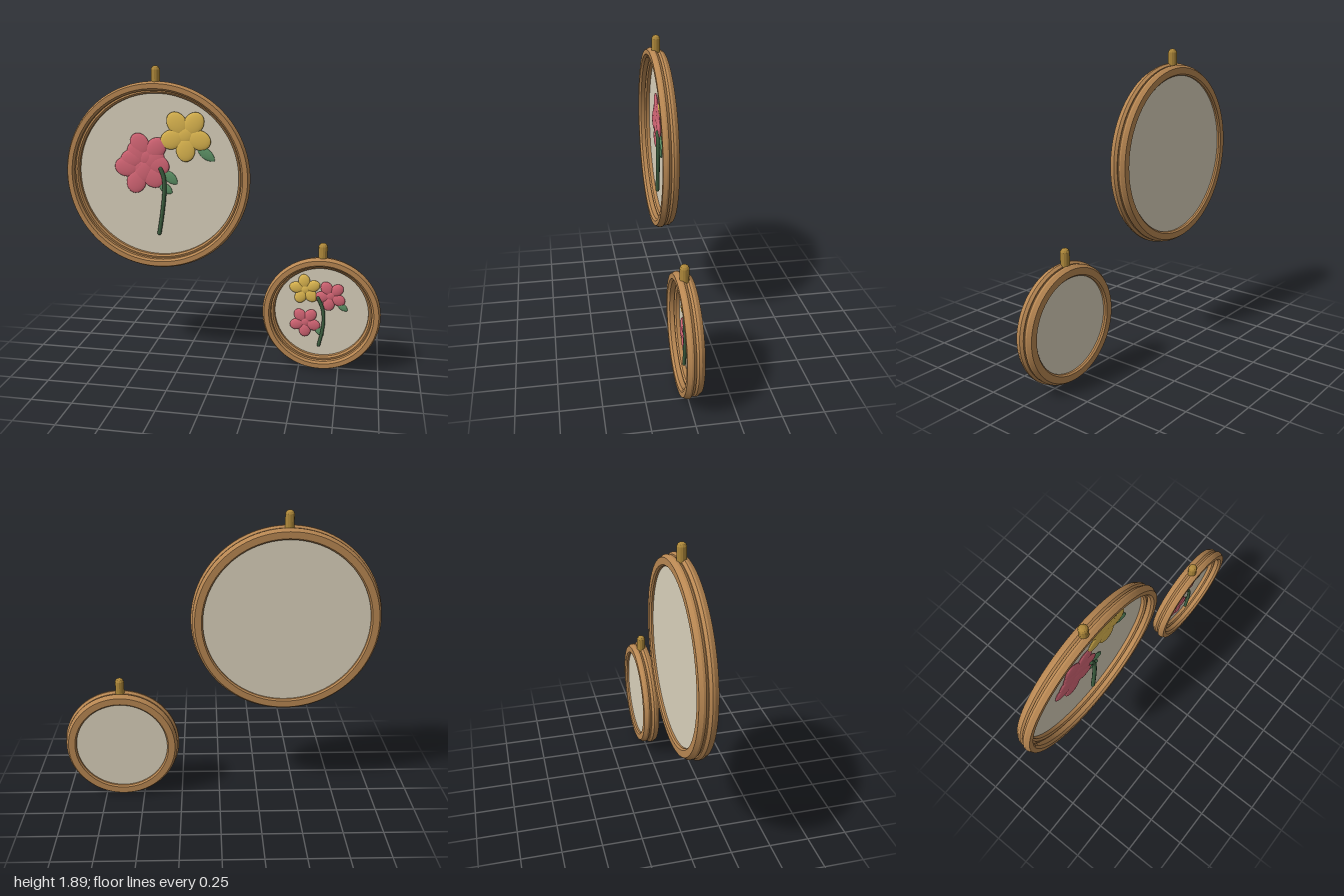
import * as THREE from 'three';
import { toCreasedNormals } from 'three/addons/utils/BufferGeometryUtils.js';

const mat = (name, color) => {
  const m = new THREE.MeshStandardMaterial({ color });
  m.name = name;
  return m;
};

export function createModel() {
  const wood = mat('wood', 0xb88752);
  const brass = mat('brass', 0xae883a);
  const linen = mat('linen', 0xdad1bc);
  const pink = mat('pink thread', 0xd96878);
  const yellow = mat('yellow thread', 0xe2bb52);
  const leafGreen = mat('leaf green', 0x5f9568);
  const stemGreen = mat('stem green', 0x3d5f40);

  const add = (parent, name, geo, material, x = 0, y = 0, z = 0) => {
    const mesh = new THREE.Mesh(geo, material);
    mesh.name = name;
    mesh.position.set(x, y, z);
    parent.add(mesh);
    return mesh;
  };

  // Ring sections as [offset from outer radius, depth], counterclockwise
  const frontSection = [[-0.012, -0.002], [0, 0.014], [0, 0.026], [-0.012, 0.05],
    [-0.042, 0.05], [-0.054, 0.036], [-0.054, 0.012], [-0.045, -0.002]];
  const backSection = [[-0.025, -0.052], [-0.01, -0.03], [-0.01, -0.016], [-0.02, -0.002],
    [-0.064, 0.01], [-0.075, 0], [-0.075, -0.042], [-0.066, -0.052]];

  function ring(section, radius) {
    const pts = [...section, section[0]].map(([d, z]) => new THREE.Vector2(radius + d, z));
    return toCreasedNormals(new THREE.LatheGeometry(pts, 96).rotateX(Math.PI / 2), 0.3);
  }

  // Wooden hoop with stretched cloth and a brass screw on top
  function hoop(name, radius, x, y) {
    const g = new THREE.Group();
    g.name = name;
    g.position.set(x, y, 0);
    add(g, 'frontRing', ring(frontSection, radius), wood);
    add(g, 'backRing', ring(backSection, radius), wood);
    const cloth = new THREE.CylinderGeometry(radius - 0.07, radius - 0.07, 0.008, 96);
    add(g, 'cloth', cloth.rotateX(Math.PI / 2), linen, 0, 0, -0.026);
    const screw = [[0, -0.02], [0.028, -0.02], [0.028, 0.07], [0.022, 0.083], [0.012, 0.09], [0, 0.092]]
      .map(([r, h]) => new THREE.Vector2(r, h));
    add(g, 'screw', toCreasedNormals(new THREE.LatheGeometry(screw, 12), 0.4), brass, 0, radius, 0.005);
    return g;
  }

  // Five flattened petals around a centre
  function flower(parent, name, material, x, y, size, degrees, z = -0.013) {
    const g = new THREE.Group();
    g.name = name;
    g.position.set(x, y, z);
    for (let i = 0; i < 5; i++) {
      const a = THREE.MathUtils.degToRad(degrees + i * 72);
      const petal = new THREE.SphereGeometry(1, 20, 12);
      petal.scale(size * 0.46, size * 0.37, 0.012);
      add(g, 'petal', petal, material, Math.cos(a) * size * 0.54, Math.sin(a) * size * 0.54).rotation.z = a;
    }
    add(g, 'flowerCentre', new THREE.SphereGeometry(1, 16, 10).scale(size * 0.32, size * 0.32, 0.011), material);
    parent.add(g);
  }

  // Pointed leaf: a flat sphere whose width narrows toward both tips
  function leaf(parent, x, y, length, width, degrees) {
    const geo = new THREE.SphereGeometry(1, 16, 12).rotateZ(Math.PI / 2);
    const p = geo.attributes.position;
    for (let i = 0; i < p.count; i++) {
      const taper = Math.sqrt(Math.max(0, 1 - p.getX(i) ** 2)) * 0.5 + 0.5;
      p.setXYZ(i, p.getX(i) * length, p.getY(i) * width * taper, p.getZ(i) * 0.009);
    }
    geo.computeVertexNormals();
    add(parent, 'leaf', geo, leafGreen, x, y, -0.015).rotation.z = THREE.MathUtils.degToRad(degrees);
  }

  // Rounded thread stem through a few points
  function stem(parent, points, radius) {
    const v = points.map(([x, y]) => new THREE.Vector3(x, y, 0));
    add(parent, 'stem', new THREE.TubeGeometry(new THREE.CatmullRomCurve3(v), 32, radius, 10), stemGreen);
    for (const end of [v[0], v[v.length - 1]]) {
      add(parent, 'stemEnd', new THREE.SphereGeometry(radius, 10, 8), stemGreen, end.x, end.y, end.z);
    }
  }

  const model = new THREE.Group();
  model.name = 'embroideryHoops';
  model.add(hoop('largeHoop', 0.588, -0.411, 1.209), hoop('smallHoop', 0.368, 0.632, 0.37));

  // Large bouquet
  const large = new THREE.Group();
  large.name = 'largeBouquet';
  flower(large, 'lowerPinkFlower', pink, -0.521, 1.257, 0.172, 178);
  flower(large, 'upperPinkFlower', pink, -0.489, 1.322, 0.165, 115, -0.012);
  flower(large, 'yellowFlower', yellow, -0.233, 1.468, 0.166, -90, -0.01);
  leaf(large, -0.105, 1.355, 0.068, 0.033, -38);
  leaf(large, -0.335, 1.2, 0.06, 0.033, -42);
  leaf(large, -0.365, 1.128, 0.05, 0.03, -35);
  stem(large, [[-0.408, 0.838], [-0.385, 0.98], [-0.37, 1.12], [-0.373, 1.2], [-0.392, 1.255]], 0.013);
  model.add(large);

  // Small bouquet
  const small = new THREE.Group();
  small.name = 'smallBouquet';
  flower(small, 'yellowFlower', yellow, 0.527, 0.516, 0.1, 25);
  flower(small, 'upperPinkFlower', pink, 0.687, 0.482, 0.1, 45, -0.012);
  flower(small, 'lowerPinkFlower', pink, 0.532, 0.298, 0.1, -90);
  leaf(small, 0.763, 0.413, 0.04, 0.021, -38);
  leaf(small, 0.622, 0.242, 0.042, 0.022, -50);
  stem(small, [[0.623, 0.152], [0.643, 0.25], [0.649, 0.33], [0.64, 0.4], [0.61, 0.468]], 0.011);
  model.add(small);

  return model;
}
